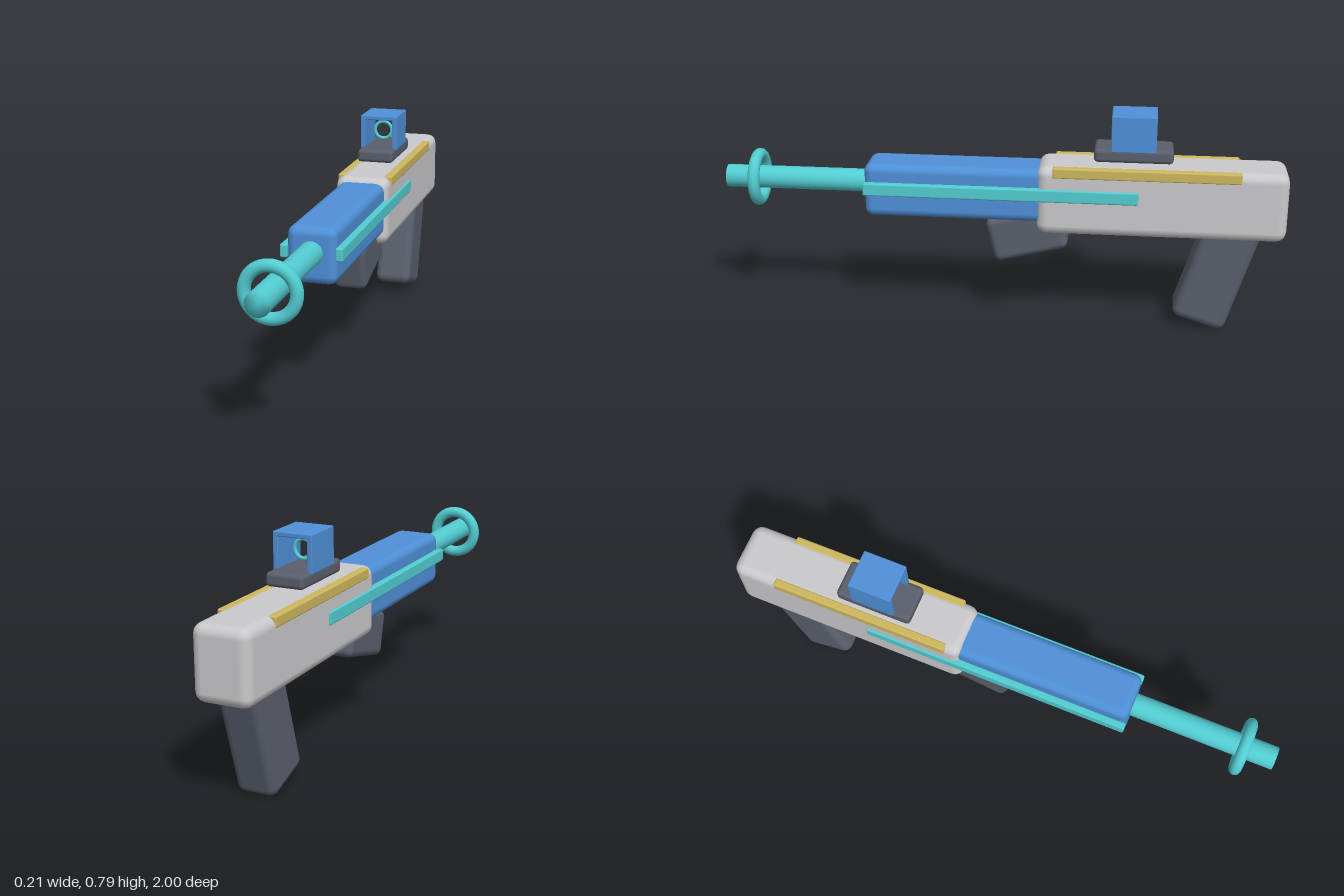
import * as THREE from 'three';
import { mergeVertices } from 'three/addons/utils/BufferGeometryUtils.js';
import { RoundedBoxGeometry } from 'three/addons/geometries/RoundedBoxGeometry.js';

const paint = (name, color) => {
  const m = new THREE.MeshStandardMaterial({ color });
  m.name = name;
  return m;
};

export function createModel() {
  const group = new THREE.Group();
  const grey = paint('lightGrey', 0xcacacc);
  const blue = paint('blue', 0x4f90d8);
  const teal = paint('teal', 0x52cdd2);
  const dark = paint('darkGrey', 0x5a5f6c);
  const gold = paint('gold', 0xcdb75f);

  const add = (name, geometry, material, x, y, z, tilt = 0) => {
    const mesh = new THREE.Mesh(geometry, material);
    mesh.name = name;
    mesh.position.set(x, y, z);
    mesh.rotation.x = tilt;
    group.add(mesh);
    return mesh;
  };
  const block = (w, h, d, r) => new RoundedBoxGeometry(w, h, d, 2, r);

  // Main bodies
  add('receiver', block(0.2, 0.25, 0.87, 0.036), grey, 0, 0.48, -0.565);
  add('foreBody', block(0.17, 0.194, 0.685, 0.03), blue, 0, 0.491, 0.1425);

  // Handles
  add('rearGrip', block(0.143, 0.42, 0.197, 0.03), dark, 0, 0.224, -0.772, -0.3);
  add('foreGrip', block(0.12, 0.165, 0.27, 0.024), dark, 0, 0.338, -0.093, 0.25);

  // Barrel with softened end shading, and the ring around it
  let tube = new THREE.CylinderGeometry(0.041, 0.041, 0.6, 20);
  tube.deleteAttribute('normal');
  tube.deleteAttribute('uv');
  tube = mergeVertices(tube);
  tube.computeVertexNormals();
  add('barrel', tube, teal, 0, 0.503, 0.7, Math.PI / 2);
  add('barrelRing', new THREE.TorusGeometry(0.083, 0.021, 14, 40), teal, 0, 0.502, 0.885);

  // Side strips and upper rails
  for (const [side, s] of [['left', 1], ['right', -1]]) {
    add(side + 'Strip', block(0.026, 0.046, 0.97, 0.006), teal, s * 0.094, 0.503, 0);
    add(side + 'Rail', block(0.03, 0.038, 0.65, 0.006), gold, s * 0.087, 0.586, -0.511);
  }

  // Sight: base, open frame and aiming ring
  add('sightBase', block(0.136, 0.048, 0.275, 0.014), dark, 0, 0.644, -0.464);
  for (const [side, s] of [['left', 1], ['right', -1]]) {
    add(side + 'SightWall', block(0.018, 0.126, 0.156, 0.003), blue, s * 0.061, 0.723, -0.463);
  }
  add('sightRoof', block(0.14, 0.017, 0.156, 0.004), blue, 0, 0.78, -0.463);
  add('sightRing', new THREE.TorusGeometry(0.0325, 0.0065, 10, 32), teal, 0, 0.721, -0.463);

  return group;
}
